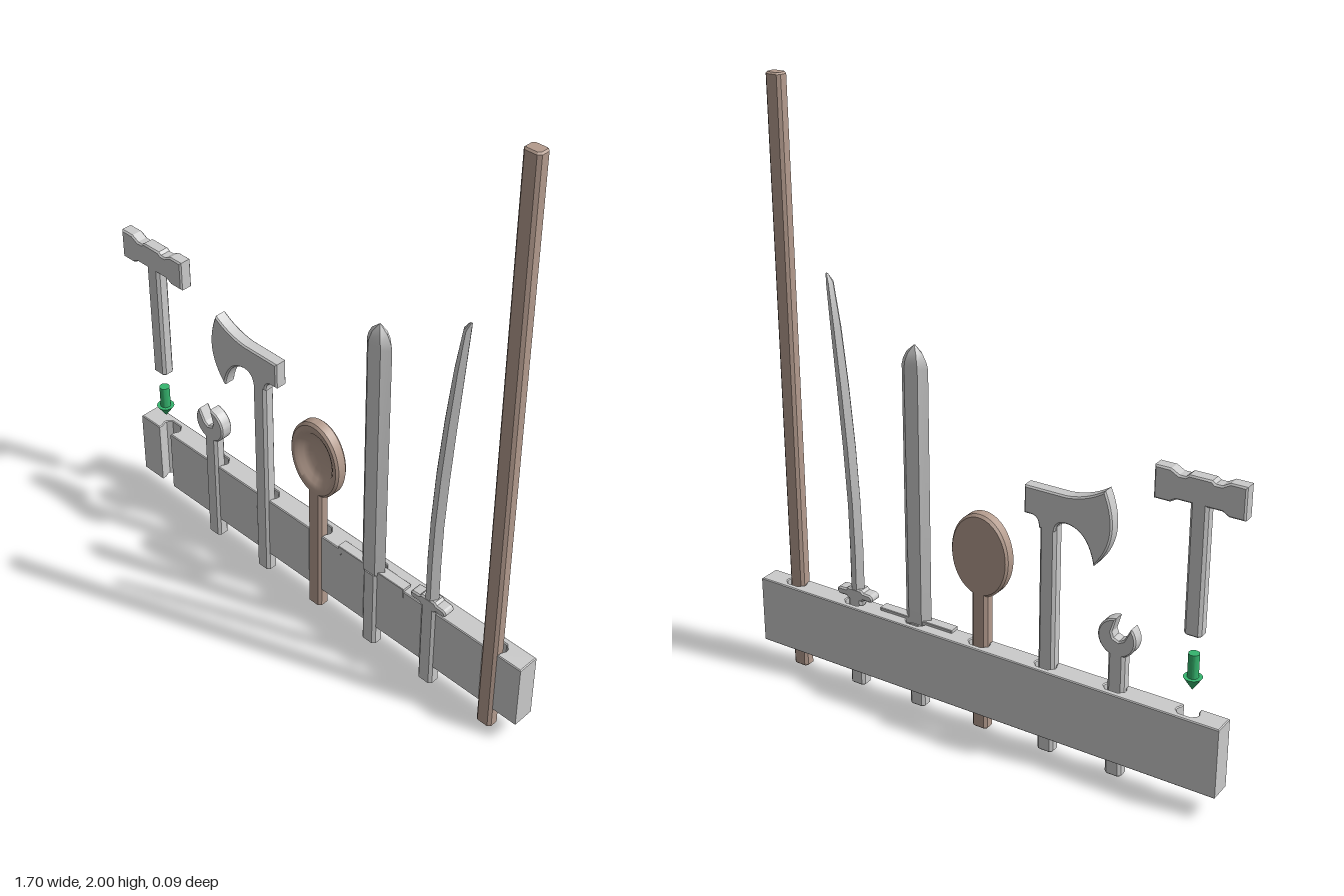
import * as THREE from 'three';
import { toCreasedNormals } from 'three/addons/utils/BufferGeometryUtils.js';

const GREY = new THREE.MeshStandardMaterial({ color: 0xcccccc });
const WOOD = new THREE.MeshStandardMaterial({ color: 0xb49c8e });
const GREEN = new THREE.MeshStandardMaterial({ color: 0x35b56e });
const BACK = -0.008, FRONT = 0.036, MID = 0.014; // depth range shared by the tools
const slotX = (i) => -0.711 + 0.24 * i;

function mesh(name, geometry, material = GREY) {
  const m = new THREE.Mesh(toCreasedNormals(geometry, 0.5), material);
  m.name = name;
  return m;
}

const toShape = (pts) => new THREE.Shape(pts.map(([x, y]) => new THREE.Vector2(x, y)));

// Extrusion with a fine chamfer that stays inside the outline and depth
function chamfered(shape, depth, b = 0.005) {
  return new THREE.ExtrudeGeometry(shape, {
    depth: depth - 2 * b, bevelThickness: b, bevelSize: b, bevelOffset: -b,
    bevelSegments: 1, curveSegments: 20,
  }).translate(0, 0, b);
}

// Flat part cut from an outline in x, y
const plate = (name, shape, material) =>
  mesh(name, chamfered(shape, FRONT - BACK).translate(0, 0, BACK), material);

// Upright bar with chamfered corners
function bar(name, x, y0, y1, material) {
  const w = 0.028, d = 0.022, c = 0.009;
  const outline = [[-w, -d + c], [-w + c, -d], [w - c, -d], [w, -d + c],
    [w, d - c], [w - c, d], [-w + c, d], [-w, d - c]];
  const g = chamfered(toShape(outline), y1 - y0).rotateX(-Math.PI / 2);
  return mesh(name, g.translate(x, y0, MID), material);
}

// Blade lofted through [left x, right x, y, half thickness]
function blade(name, rows, flat) {
  const pos = [], idx = [], n = 6;
  for (const [l, r, y, t] of rows) {
    const c = (l + r) / 2, w = (r - l) / 2, f = w * flat;
    for (const [x, z] of [[-w, 0], [-f, t], [f, t], [w, 0], [f, -t], [-f, -t]]) {
      pos.push(c + x, y, MID + z);
    }
  }
  for (let i = 0; i < rows.length - 1; i++) {
    for (let j = 0; j < n; j++) {
      const a = i * n + j, b = i * n + (j + 1) % n;
      idx.push(a, b, b + n, a, b + n, a + n);
    }
  }
  const top = (rows.length - 1) * n;
  for (let j = 1; j < n - 1; j++) idx.push(0, j + 1, j, top, top + j, top + j + 1);
  const g = new THREE.BufferGeometry();
  g.setAttribute('position', new THREE.Float32BufferAttribute(pos, 3));
  g.setIndex(idx);
  return mesh(name, g);
}

function group(name, ...parts) {
  const g = new THREE.Group();
  g.name = name;
  g.add(...parts);
  return g;
}

function makeRack() {
  // Plan outline in x, -z with a snap-in groove at every slot
  const pts = [[-0.83, 0.045], [-0.83, -0.028]];
  const groove = [[0.028, -0.028], [0.028, -0.014], [0.035, 0.002], [0.035, 0.01], [0.02, 0.025]];
  for (let i = 0; i < 7; i++) {
    for (const [x, y] of groove) pts.push([slotX(i) - x, y]);
    for (const [x, y] of [...groove].reverse()) pts.push([slotX(i) + x, y]);
  }
  pts.push([0.845, -0.028], [0.845, 0.045]);
  const g = chamfered(toShape(pts), 0.235, 0.003).rotateX(-Math.PI / 2).translate(0, 0.08, 0);
  const rack = group('rack', mesh('rackBody', g));
  for (let i = 0; i < 7; i++) {
    const bump = mesh('detentBump', new THREE.SphereGeometry(0.017, 16, 10));
    bump.scale.z = 0.6;
    bump.position.set(slotX(i), 0.198, -0.025);
    rack.add(bump);
  }
  return rack;
}

function makeHammer() {
  const x = slotX(0);
  const half = [[0.035, 0.045], [0.045, 0.037], [0.065, 0.037], [0.09, 0.051], [0.14, 0.051],
    [0.14, -0.051], [0.09, -0.051], [0.07, -0.039], [0.035, -0.039]];
  const outline = [...half, ...half.map(([a, b]) => [-a, b]).reverse()];
  const head = plate('hammerHead', toShape(outline));
  head.position.set(x, 1.016, 0);
  return group('hammer', bar('hammerHandle', x, 0.565, 0.99), head);
}

function makeWrench() {
  const x = slotX(1), r = 0.063, s = new THREE.Shape();
  // Open jaw: a disc with a mouth, turned to one side
  const mouth = 0.45;
  s.absarc(0, 0, r, Math.PI / 2 + mouth, Math.PI / 2 - mouth + Math.PI * 2, false);
  s.lineTo(0.022, 0.008);
  s.lineTo(0.01, -0.006);
  s.lineTo(-0.01, -0.006);
  s.lineTo(-0.022, 0.008);
  const jaw = plate('wrenchJaw', s);
  jaw.position.set(x, 0.483, 0);
  jaw.rotation.z = 0.38;
  return group('wrench', bar('wrenchHandle', x, 0.005, 0.455), jaw);
}

function makeAxe() {
  const s = new THREE.Shape();
  s.moveTo(-0.15, 0.897);
  s.lineTo(-0.29, 0.897);
  s.quadraticCurveTo(-0.36, 0.903, -0.418, 0.945);
  s.quadraticCurveTo(-0.482, 0.8, -0.386, 0.695);
  s.quadraticCurveTo(-0.365, 0.805, -0.29, 0.807);
  s.quadraticCurveTo(-0.258, 0.805, -0.256, 0.77);
  s.lineTo(-0.2, 0.77);
  s.quadraticCurveTo(-0.2, 0.805, -0.175, 0.807);
  s.lineTo(-0.15, 0.807);
  return group('axe', bar('axeHandle', slotX(2), 0.005, 0.79), plate('axeHead', s));
}

function makeSpoon() {
  const profile = [[0, BACK], [0.096, BACK], [0.102, 0], [0.102, 0.029], [0.095, FRONT],
    [0.083, FRONT], [0.072, 0.029], [0.062, 0.016], [0.045, 0.007], [0.024, 0.002], [0, 0]];
  const g = new THREE.LatheGeometry(profile.map(([r, z]) => new THREE.Vector2(r, z)), 48);
  g.rotateX(Math.PI / 2).scale(1, 1.37, 1).translate(slotX(3), 0.616, 0);
  return group('spoon', bar('spoonHandle', slotX(3), 0.005, 0.495, WOOD), mesh('spoonBowl', g, WOOD));
}

function makeSword() {
  const x = slotX(4);
  const rows = [[0.048, 0.31, 0.022], [0.048, 1.175, 0.022], [0.043, 1.195, 0.021],
    [0.03, 1.22, 0.015], [0.002, 1.245, 0.002]].map(([w, y, t]) => [x - w, x + w, y, t]);
  // Crossguard with short drooping ends
  const half = [[0.138, 0.325], [0.138, 0.29], [0.128, 0.29], [0.122, 0.3], [0.028, 0.3]];
  const outline = [...half, ...half.map(([a, b]) => [-a, b]).reverse()];
  const guard = mesh('swordGuard', chamfered(toShape(outline), 0.036, 0.002).translate(x, 0, -0.006));
  return group('sword', bar('swordHandle', x, 0.005, 0.31), guard, blade('swordBlade', rows, 0.5));
}

function makeSaber() {
  const x = slotX(5);
  const rows = [[0.463, 0.516, 0.34, 0.021], [0.463, 0.516, 0.5, 0.021], [0.468, 0.519, 0.66, 0.021],
    [0.48, 0.53, 0.85, 0.021], [0.499, 0.545, 1.05, 0.02], [0.522, 0.56, 1.24, 0.018],
    [0.546, 0.571, 1.385, 0.013], [0.564, 0.574, 1.41, 0.003]];
  const s = new THREE.Shape();
  s.moveTo(-0.028, -0.02);
  s.lineTo(0.028, -0.02);
  s.lineTo(0.034, -0.012);
  s.absarc(0.057, 0, 0.013, -Math.PI / 2, Math.PI / 2, false);
  s.lineTo(0.034, 0.014);
  s.lineTo(0.026, 0.022);
  s.lineTo(-0.026, 0.022);
  s.lineTo(-0.034, 0.014);
  s.absarc(-0.057, 0, 0.013, Math.PI / 2, Math.PI * 1.5, false);
  s.lineTo(-0.034, -0.012);
  const guard = plate('saberGuard', s);
  guard.position.set(x, 0.34, 0);
  return group('saber', bar('saberHandle', x, 0.005, 0.33), guard, blade('saberBlade', rows, 0.35));
}

// Downward arrow between the hammer and its slot
function makeArrow() {
  const profile = [[0, 0.378], [0.029, 0.422], [0.017, 0.422], [0.017, 0.5], [0, 0.5]];
  const g = new THREE.LatheGeometry(profile.map(([r, y]) => new THREE.Vector2(r, y)), 24);
  return mesh('arrow', g.translate(slotX(0), 0, 0.017), GREEN);
}

export function createModel() {
  return group('toolRack', makeRack(), makeHammer(), makeWrench(), makeAxe(), makeSpoon(),
    makeSword(), makeSaber(), bar('pole', slotX(6), 0, 2, WOOD), makeArrow());
}
